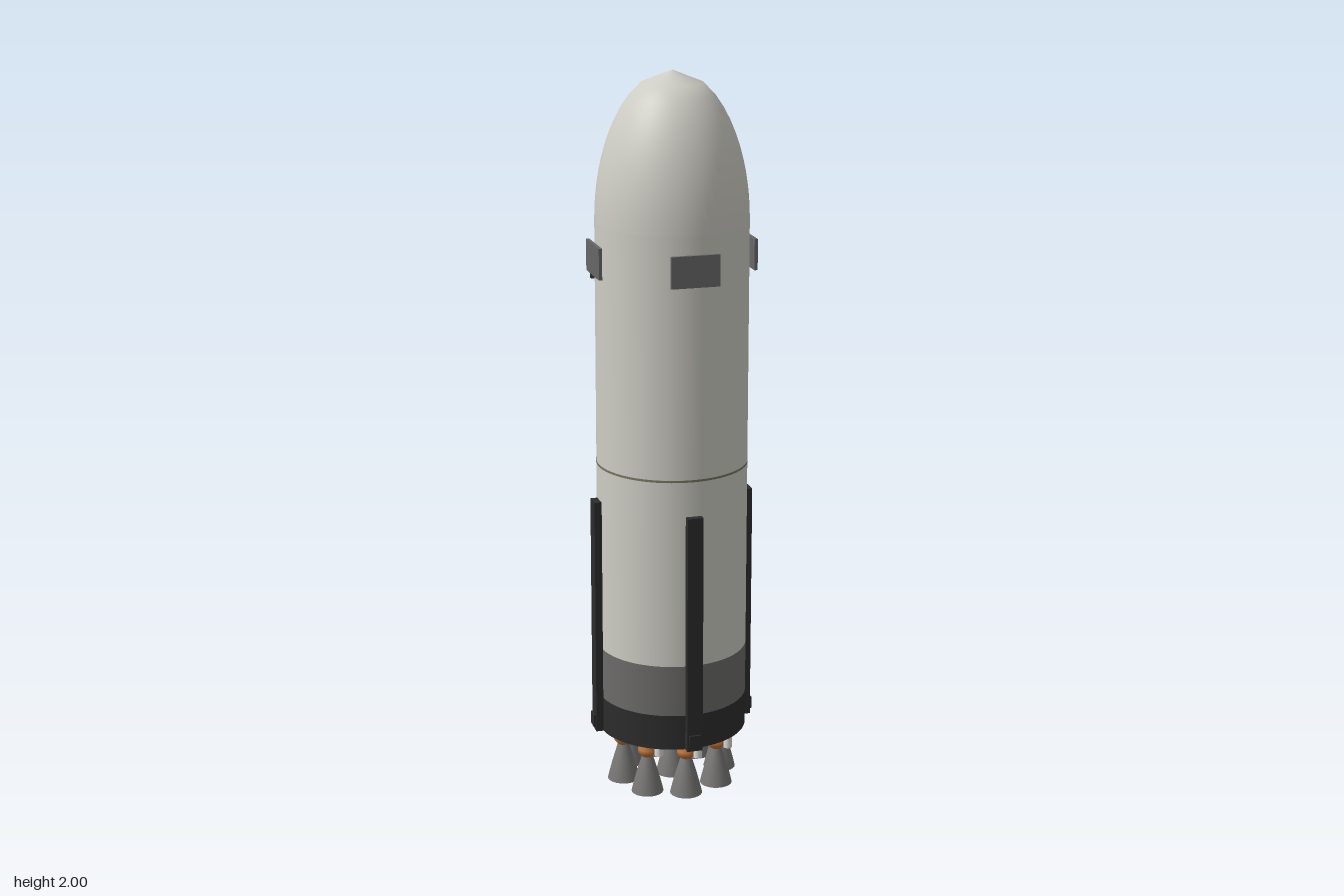
import * as THREE from 'three';

const paint = (name, color, side = THREE.FrontSide) => {
  const m = new THREE.MeshStandardMaterial({ color, side });
  m.name = name;
  return m;
};

export function createModel() {
  const rocket = new THREE.Group();
  rocket.name = 'rocket';
  const white = paint('hull white', 0xcdccc4);
  const grey = paint('band grey', 0x6c6b6a);
  const black = paint('skirt black', 0x2c2c2c);
  const finGrey = paint('fin grey', 0x686768);
  const bellGrey = paint('nozzle grey', 0x777675, THREE.DoubleSide);
  const copper = paint('engine copper', 0xb8703a);
  const pale = paint('pump white', 0xdcdbd6);
  const seamTone = paint('seam olive', 0x77755f);

  const R = 0.207;
  const body = new THREE.Group();
  body.name = 'body';
  body.position.x = 0.0125;
  rocket.add(body);

  const add = (parent, name, geometry, material, x = 0, y = 0, z = 0) => {
    const mesh = new THREE.Mesh(geometry, material);
    mesh.name = name;
    mesh.position.set(x, y, z);
    parent.add(mesh);
    return mesh;
  };
  const lathe = (pts, n) => new THREE.LatheGeometry(pts.map(([r, y]) => new THREE.Vector2(r, y)), n);
  const section = (name, y0, y1, material, r = R) =>
    add(body, name, new THREE.CylinderGeometry(r, r, y1 - y0, 64), material, 0, (y0 + y1) / 2);

  // Hull, from the engine skirt upward
  section('engineSkirt', 0.16, 0.26, black);
  section('greyBand', 0.26, 0.405, grey);
  section('lowerStage', 0.405, 0.932, white);
  section('stageSeam', 0.932, 0.938, seamTone, R + 0.001);
  section('upperStage', 0.938, 1.6, white);

  // Elliptical nose, sampled at even heights so the tip is a shallow cone
  const nose = [];
  for (let i = 0; i <= 12; i++) {
    const t = i / 12;
    nose.push([R * Math.sqrt(1 - t * t), 1.6 + 0.4 * t]);
  }
  add(body, 'noseCone', lathe(nose, 64), white);

  // Four diagonal stations, each with a grid fin, a folded leg and its foot
  for (let i = 0; i < 4; i++) {
    const station = new THREE.Group();
    station.name = 'station' + (i + 1);
    station.rotation.y = Math.PI / 4 + i * Math.PI / 2;
    body.add(station);
    add(station, 'fin', new THREE.BoxGeometry(0.133, 0.085, 0.009), finGrey, 0, 1.507, 0.215);
    add(station, 'leg', new THREE.BoxGeometry(0.044, 0.675, 0.03), black, 0, 0.4975, 0.211);
    add(station, 'foot', new THREE.BoxGeometry(0.034, 0.035, 0.012), black, 0, 0.19, 0.226);
  }

  // Two hull brackets on the right side
  for (const [name, y] of [['upperBracket', 1.442], ['lowerBracket', 0.365]]) {
    add(rocket, name, new THREE.BoxGeometry(0.04, 0.04, 0.06), black, -0.204, y, 0);
  }

  // Engines: one in the middle and a ring of eight
  const bell = lathe([[0.045, 0], [0.039, 0.025], [0.031, 0.055], [0.022, 0.085], [0.015, 0.107]], 24);
  const chamber = lathe([[0.015, 0.105], [0.026, 0.117], [0.026, 0.128], [0.017, 0.142], [0.015, 0.165]], 20);
  const pump = new THREE.CylinderGeometry(0.012, 0.012, 0.034, 16);
  const pipe = new THREE.CylinderGeometry(0.005, 0.005, 0.03, 8).rotateZ(Math.PI / 2);
  for (let i = 0; i < 9; i++) {
    const a = i * Math.PI / 4;
    const r = i === 8 ? 0 : 0.142;
    const engine = new THREE.Group();
    engine.name = 'engine' + (i + 1);
    engine.position.set(r * Math.cos(a), 0, r * Math.sin(a));
    body.add(engine);
    add(engine, 'nozzle', bell, bellGrey);
    add(engine, 'chamber', chamber, copper);
    add(engine, 'pump', pump, pale, 0.037, 0.131, 0);
    add(engine, 'pumpPipe', pipe, copper, 0.022, 0.131, 0);
  }
  return rocket;
}
